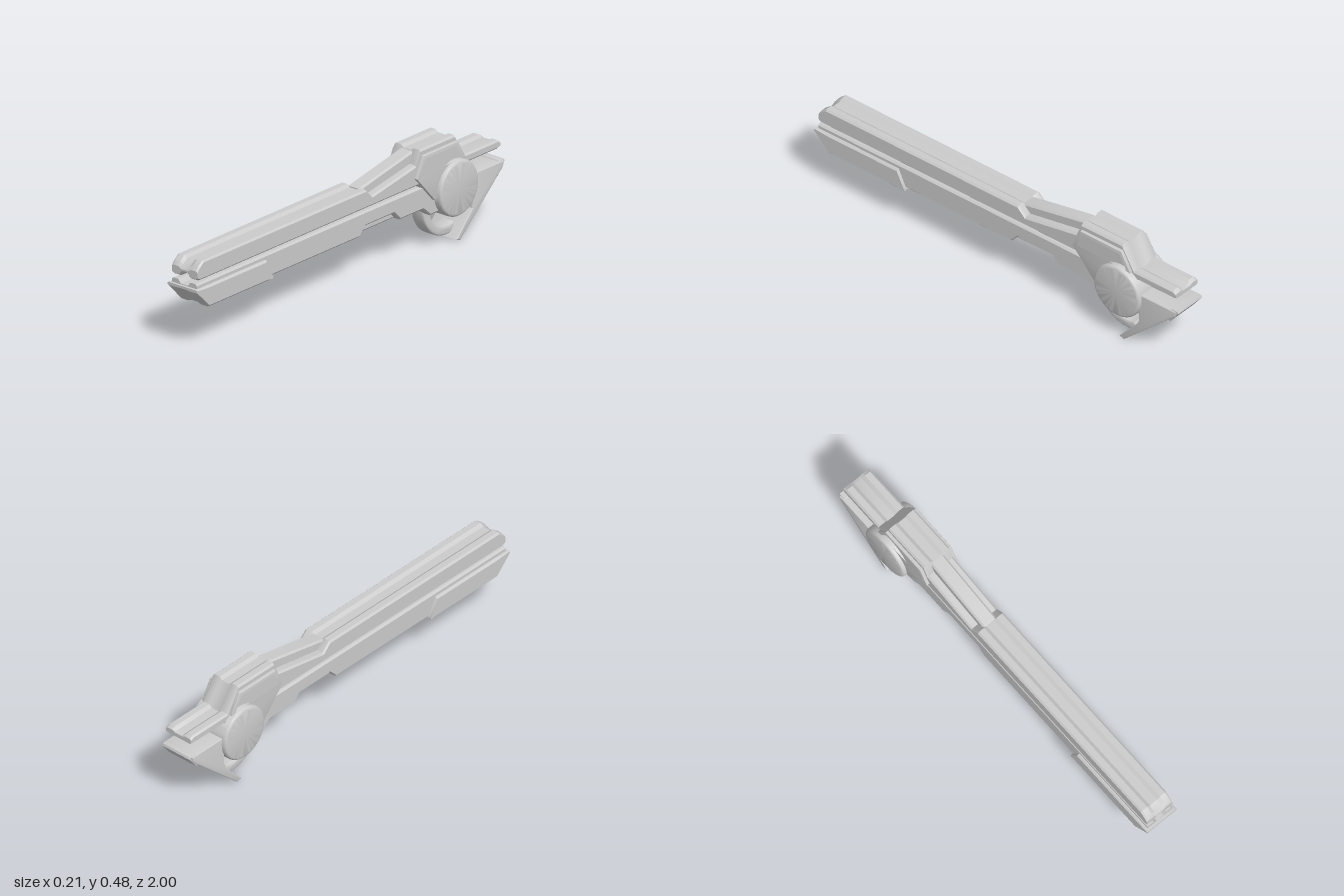
import * as THREE from 'three';
import { toCreasedNormals } from 'three/addons/utils/BufferGeometryUtils.js';

const material = new THREE.MeshStandardMaterial({ color: 0xcccccc });

// Loft along z. Stations are [z, top, bottom], front to back; the section has
// bevelled corners and a shallow channel along its top and bottom.
function loft(halfWidth, topGroove, bottomGroove, stations) {
  const w = halfWidth, c = 0.008;
  const half = [
    [w * 0.21, 0, bottomGroove], [w * 0.43, 0, 0], [w - c, 0, 0], [w, 0, c],
    [w, 1, -c], [w - c, 1, 0], [w * 0.5, 1, 0], [w * 0.28, 1, -topGroove],
  ];
  const section = [...half, ...half.map(([x, t, o]) => [-x, t, o]).reverse()];
  const n = section.length, last = stations.length - 1;
  const positions = [], index = [];
  const ring = ([, top, bottom]) => {
    const h = top - bottom, k = Math.min(1, h / 0.04);
    return section.map(([x, t, o]) => new THREE.Vector2(x, bottom + t * h + o * k));
  };
  stations.forEach((s, i) => {
    ring(s).forEach((p) => positions.push(p.x, p.y, s[0]));
    if (i === last) return;
    for (let j = 0; j < n; j++) {
      const a = i * n + j, b = i * n + (j + 1) % n;
      index.push(a, a + n, b, b, a + n, b + n);
    }
  });
  for (const [a, b, d] of THREE.ShapeUtils.triangulateShape(ring(stations[0]), [])) index.push(a, b, d);
  for (const [a, b, d] of THREE.ShapeUtils.triangulateShape(ring(stations[last]), [])) {
    index.push(last * n + a, last * n + d, last * n + b);
  }
  const g = new THREE.BufferGeometry();
  g.setAttribute('position', new THREE.Float32BufferAttribute(positions, 3));
  g.setIndex(index);
  return toCreasedNormals(g, 0.5);
}

// Extrude a side outline, drawn as (-z, y), from x0 to x1 with a small bevel.
function sideExtrude(shape, x0, x1, bevel = 0.006) {
  const g = new THREE.ExtrudeGeometry(shape, {
    depth: x1 - x0 - 2 * bevel, bevelThickness: bevel, bevelSize: bevel,
    bevelOffset: -bevel, bevelSegments: 3, curveSegments: 28,
  });
  g.translate(0, 0, x0 + bevel);
  g.rotateY(Math.PI / 2);
  return toCreasedNormals(g, 0.6);
}

const outline = (points) => new THREE.Shape(points.map(([x, y]) => new THREE.Vector2(x, y)));

export function createModel() {
  const model = new THREE.Group();
  const add = (name, geometry) => {
    const mesh = new THREE.Mesh(geometry, material);
    mesh.name = name;
    model.add(mesh);
    return mesh;
  };

  // Barrels, separated by a narrow slot
  add('upperBarrel', loft(0.071, 0.011, 0.021, [
    [0.985, 0.365, 0.33], [0.972, 0.383, 0.321], [0.945, 0.404, 0.32], [-0.11, 0.404, 0.32],
    [-0.15, 0.365, 0.32], [-0.46, 0.42, 0.32], [-0.5, 0.42, 0.32],
  ]));
  add('lowerBarrel', loft(0.069, 0.018, 0, [
    [0.987, 0.308, 0.268], [0.925, 0.308, 0.2], [-0.07, 0.308, 0.2], [-0.108, 0.308, 0.24],
    [-0.295, 0.308, 0.24], [-0.335, 0.308, 0.2], [-0.485, 0.308, 0.2], [-0.53, 0.308, 0.16],
    [-0.6, 0.308, 0.16],
  ]));
  add('lowerBarrelCore', loft(0.036, 0, 0, [[-0.03, 0.27, 0.2], [-0.38, 0.27, 0.2]]));
  add('muzzleShroud', loft(0.082, 0, 0.007, [
    [1, 0.287, 0.274], [0.92, 0.287, 0.19], [0.545, 0.287, 0.19], [0.505, 0.204, 0.19],
  ]));

  // Sloping rib from the barrel up to the housing
  add('slopingRib', loft(0.035, 0, 0, [
    [-0.11, 0.398, 0.35], [-0.14, 0.405, 0.35], [-0.44, 0.464, 0.36], [-0.5, 0.464, 0.36],
  ]));

  // Housing with its flat rear bar
  add('housing', loft(0.071, 0.011, 0, [
    [-0.417, 0.375, 0.35], [-0.46, 0.478, 0.31], [-0.53, 0.478, 0.25], [-0.685, 0.478, 0.25],
    [-0.75, 0.37, 0.25], [-0.77, 0.37, 0.33], [-0.963, 0.37, 0.33], [-0.98, 0.36, 0.335],
  ]));

  // Framed side plates, one per side
  for (const [side, x0, x1] of [['left', 0.06, 0.085], ['right', -0.085, -0.06]]) {
    const plate = outline([
      [0.422, 0.36], [0.466, 0.453], [0.69, 0.453], [0.738, 0.37], [0.738, 0.25], [0.54, 0.23],
    ]);
    plate.holes.push(outline([[0.44, 0.366], [0.475, 0.44], [0.682, 0.44], [0.722, 0.366]]));
    add(side + 'SidePlate', sideExtrude(plate, x0, x1, 0.003));
  }

  // Round drum with softened rims
  const r = 0.126, w = 0.105, b = 0.015;
  const profile = [new THREE.Vector2(0, -w)];
  for (const s of [-1, 1]) {
    for (let i = 0; i <= 5; i++) {
      const a = (s < 0 ? i - 5 : i) * Math.PI / 10;
      profile.push(new THREE.Vector2(r - b + b * Math.cos(a), s * (w - b) + b * Math.sin(a)));
    }
  }
  profile.push(new THREE.Vector2(0, w));
  const drum = add('drum', toCreasedNormals(new THREE.LatheGeometry(profile, 64), 0.5));
  drum.rotation.z = Math.PI / 2;
  drum.position.set(0, 0.247, -0.678);

  // Curved guard below the drum
  const guard = new THREE.Shape();
  guard.absarc(0.68, 0.18, 0.16, Math.PI * 0.95, Math.PI * 1.61, false);
  guard.absarc(0.68, 0.18, 0.117, Math.PI * 1.61, Math.PI * 0.95, true);
  add('guard', sideExtrude(guard, -0.035, 0.035, 0.01));

  // Slanted grip and its rear tab
  add('grip', sideExtrude(outline([
    [0.79, 0.275], [0.987, 0.275], [0.983, 0.25], [0.705, 0], [0.68, 0.008], [0.785, 0.12],
  ]), -0.085, 0.085, 0.004));
  add('gripTab', sideExtrude(outline([
    [0.915, 0.215], [0.955, 0.212], [1, 0.27], [0.996, 0.28], [0.965, 0.28],
  ]), -0.079, 0.079, 0.004));

  return model;
}
